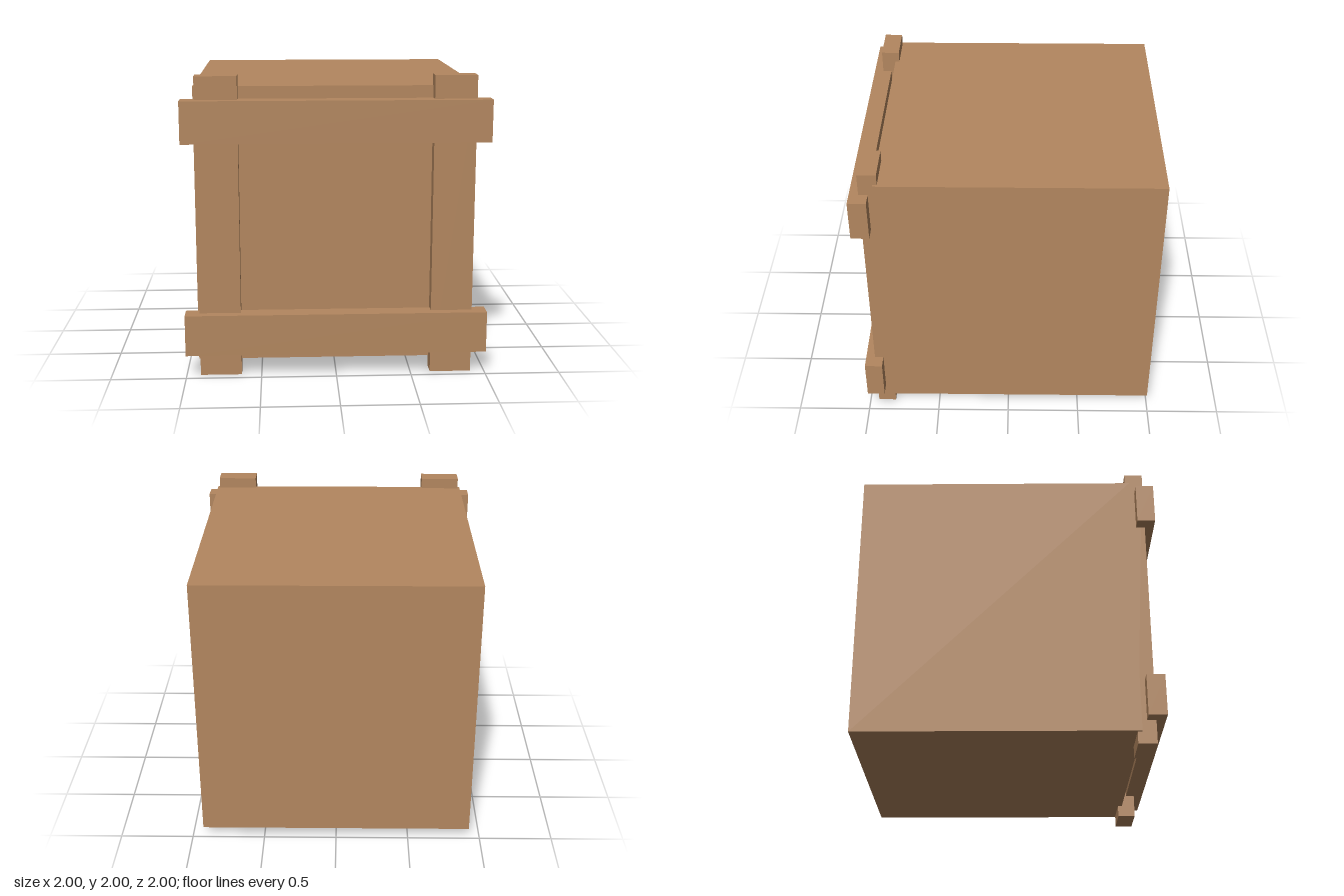
import * as THREE from 'three';

export function createModel() {
  const model = new THREE.Group();
  model.name = 'crate';
  const wood = new THREE.MeshStandardMaterial({ color: 0xb3875f });
  wood.name = 'wood';

  // Adds a box given its size and centre
  const addBox = (name, size, centre) => {
    const mesh = new THREE.Mesh(new THREE.BoxGeometry(...size), wood);
    mesh.name = name;
    mesh.position.set(...centre);
    model.add(mesh);
  };

  // Main body, set behind the front planks
  addBox('body', [1.846, 1.846, 1.846], [0, 1.003, -0.077]);

  // Upright planks, sunk slightly into the front face
  for (const [side, x] of [['left', 0.77], ['right', -0.77]]) {
    addBox(side + 'Upright', [0.274, 2, 0.122], [x, 1, 0.878]);
  }

  // Cross planks overlapping the uprights
  for (const [level, y] of [['upper', 1.711], ['lower', 0.294]]) {
    addBox(level + 'CrossPlank', [2, 0.276, 0.12], [0, y, 0.94]);
  }

  return model;
}
